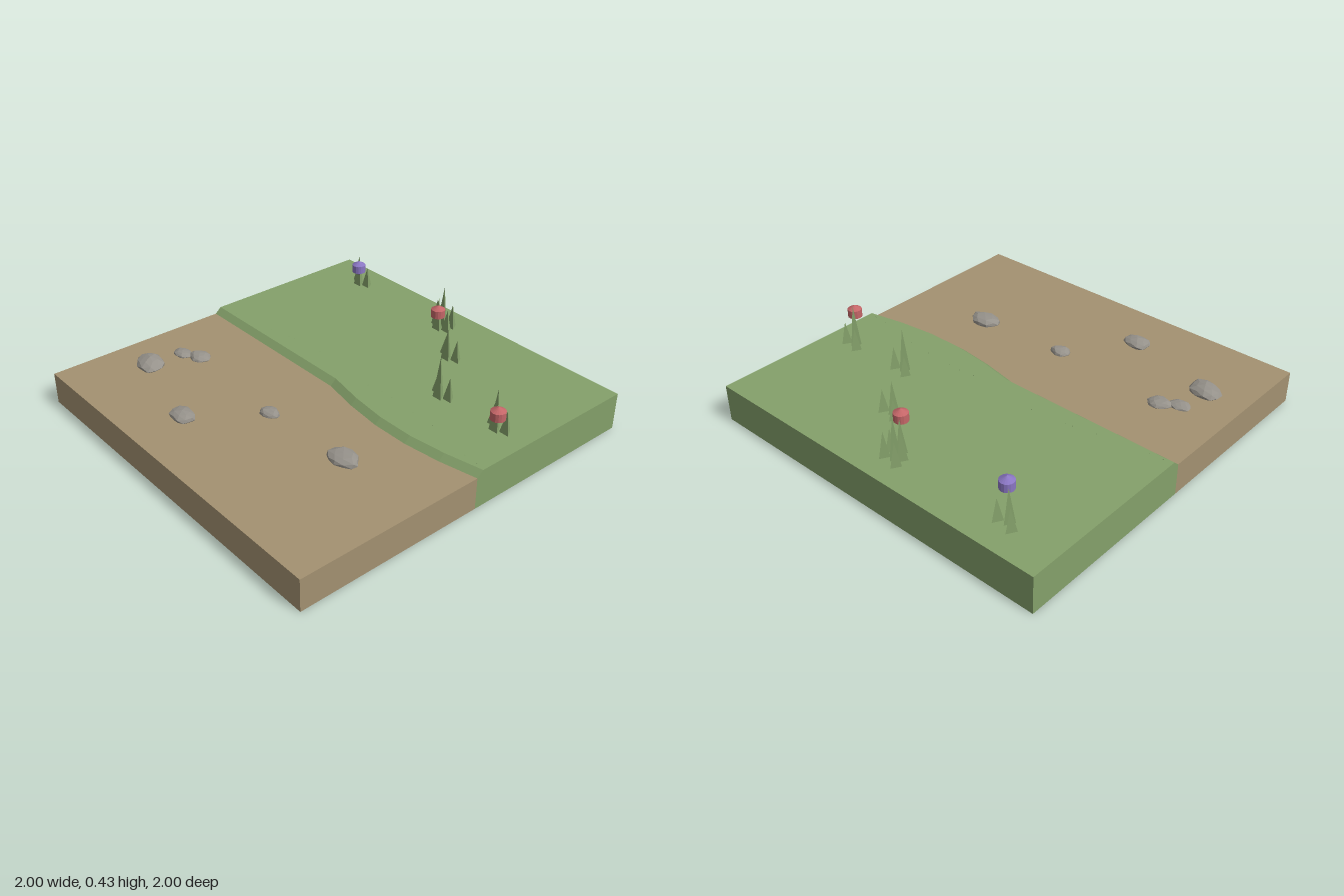
import * as THREE from 'three';

const mat = (name, color, flatShading = false) => {
  const m = new THREE.MeshStandardMaterial({ color, flatShading });
  m.name = name;
  return m;
};

// Lofts a closed [z, y] section along the given x stations, with capped ends
function loft(xs, section) {
  const rings = xs.map(([x, edge]) => section(edge).map(([z, y]) => [x, y, z]));
  const pos = [];
  const tri = (a, b, c) => pos.push(...a, ...b, ...c);
  const n = rings[0].length;
  for (let i = 0; i < rings.length - 1; i++) {
    for (let k = 0; k < n; k++) {
      const j = (k + 1) % n;
      tri(rings[i][k], rings[i][j], rings[i + 1][j]);
      tri(rings[i][k], rings[i + 1][j], rings[i + 1][k]);
    }
  }
  const first = rings[0], last = rings[rings.length - 1];
  for (let k = 1; k < n - 1; k++) {
    tri(first[0], first[k + 1], first[k]);
    tri(last[0], last[k], last[k + 1]);
  }
  const g = new THREE.BufferGeometry();
  g.setAttribute('position', new THREE.Float32BufferAttribute(pos, 3));
  g.computeVertexNormals();
  return g;
}

// Faceted stone of unit size, dented by a rule on vertex position
function stoneGeometry(seed) {
  const g = new THREE.IcosahedronGeometry(1, 1);
  const p = g.attributes.position;
  const v = new THREE.Vector3();
  for (let i = 0; i < p.count; i++) {
    v.fromBufferAttribute(p, i);
    const dent = 0.92 + 0.1 * Math.sin(v.x * 3.1 + seed * 2.3) * Math.cos(v.z * 3.7 + seed) + 0.05 * Math.sin(v.y * 4 + seed);
    v.multiplyScalar(dent);
    p.setXYZ(i, v.x, v.y, v.z);
  }
  g.computeVertexNormals();
  return g;
}

export function createModel() {
  const model = new THREE.Group();
  const grass = mat('grass green', 0x84a06a, true);
  const dirt = mat('dirt brown', 0xa39171, true);
  const stone = mat('stone grey', 0x96928b, true);
  const red = mat('red blossom', 0xc46668, true);
  const purple = mat('purple blossom', 0x8a76c2, true);

  const add = (name, geometry, material, x = 0, y = 0, z = 0, parent = model) => {
    const m = new THREE.Mesh(geometry, material);
    m.name = name;
    m.position.set(x, y, z);
    parent.add(m);
    return m;
  };

  // Ground halves meeting along a wavy bank
  const bank = [[-1, -0.003], [0, -0.003], [0.2, 0.037], [0.4, 0.06], [0.6, 0.06], [0.8, 0.037], [1, -0.003]];
  add('grassGround', loft(bank, (e) => [[-1, 0], [-1, 0.2], [e - 0.034, 0.2], [e, 0.17], [e, 0]]), grass);
  add('dirtGround', loft(bank, (e) => [[e, 0], [e, 0.17], [1, 0.17], [1, 0]]), dirt);

  // Grass tufts: one tall blade with two shorter ones behind; [x, z, tall, left, right]
  const tufts = [
    [-0.713, -0.823, 0.38, 0.32, 0.315],
    [-0.047, -0.842, 0.428, 0.325, 0.335],
    [-0.036, -0.792, 0.385, 0.35, 0.32],
    [0.22, -0.602, 0.378, 0.31, 0.32],
    [0.455, -0.308, 0.432, 0.31, 0.32],
    [0.823, -0.307, 0.425, 0.32, 0.32],
  ];
  for (const [x, z, tall, left, right] of tufts) {
    const tuft = new THREE.Group();
    tuft.name = 'grassTuft';
    model.add(tuft);
    for (const [dx, dz, top] of [[0, 0, tall], [-0.041, -0.035, left], [0.048, -0.021, right]]) {
      const h = top - 0.2;
      const blade = add('blade', new THREE.ConeGeometry(0.031, h, 3), grass, x + dx, 0.2 + h / 2, z + dz, tuft);
      blade.rotation.y = Math.PI;
    }
  }

  // Tiny sprouts along the bank
  const sprouts = [[-0.95, -0.05], [-0.88, -0.06], [-0.61, -0.1], [-0.49, -0.125], [-0.45, -0.13], [-0.26, -0.15],
    [0.15, -0.12], [0.24, -0.13], [0.31, -0.13], [0.47, -0.12], [0.61, -0.11], [0.87, -0.055], [0.95, -0.05]];
  const sproutGeometry = new THREE.ConeGeometry(0.004, 0.004, 3);
  for (const [x, z] of sprouts) add('sprout', sproutGeometry, grass, x, 0.202, z);

  // Blossoms hovering over the tufts
  const blossom = new THREE.SphereGeometry(0.043, 16, 3);
  add('purpleBlossom', blossom, purple, -0.657, 0.342, -0.77);
  add('redBlossom', blossom, red, 0.018, 0.342, -0.732);
  add('redBlossom', blossom, red, 0.882, 0.342, -0.247);

  // Flat stones half sunk in the dirt; [x, z, width, depth, top, turn]
  const stones = [
    [-0.768, 0.57, 0.18, 0.14, 0.213, -0.25],
    [-0.745, 0.385, 0.115, 0.085, 0.192, 0.1],
    [-0.66, 0.337, 0.125, 0.1, 0.197, 0.2],
    [0, 0.38, 0.115, 0.09, 0.197, 0],
    [0.51, 0.352, 0.18, 0.13, 0.206, 0.1],
    [-0.25, 0.715, 0.155, 0.12, 0.204, -0.1],
  ];
  stones.forEach(([x, z, w, d, top, turn], i) => {
    const s = add('stone', stoneGeometry(i + 1), stone, x, 0.174, z);
    s.scale.set(w * 0.54, (top - 0.174) * 1.08, d * 0.54);
    s.rotation.y = turn;
  });

  return model;
}
